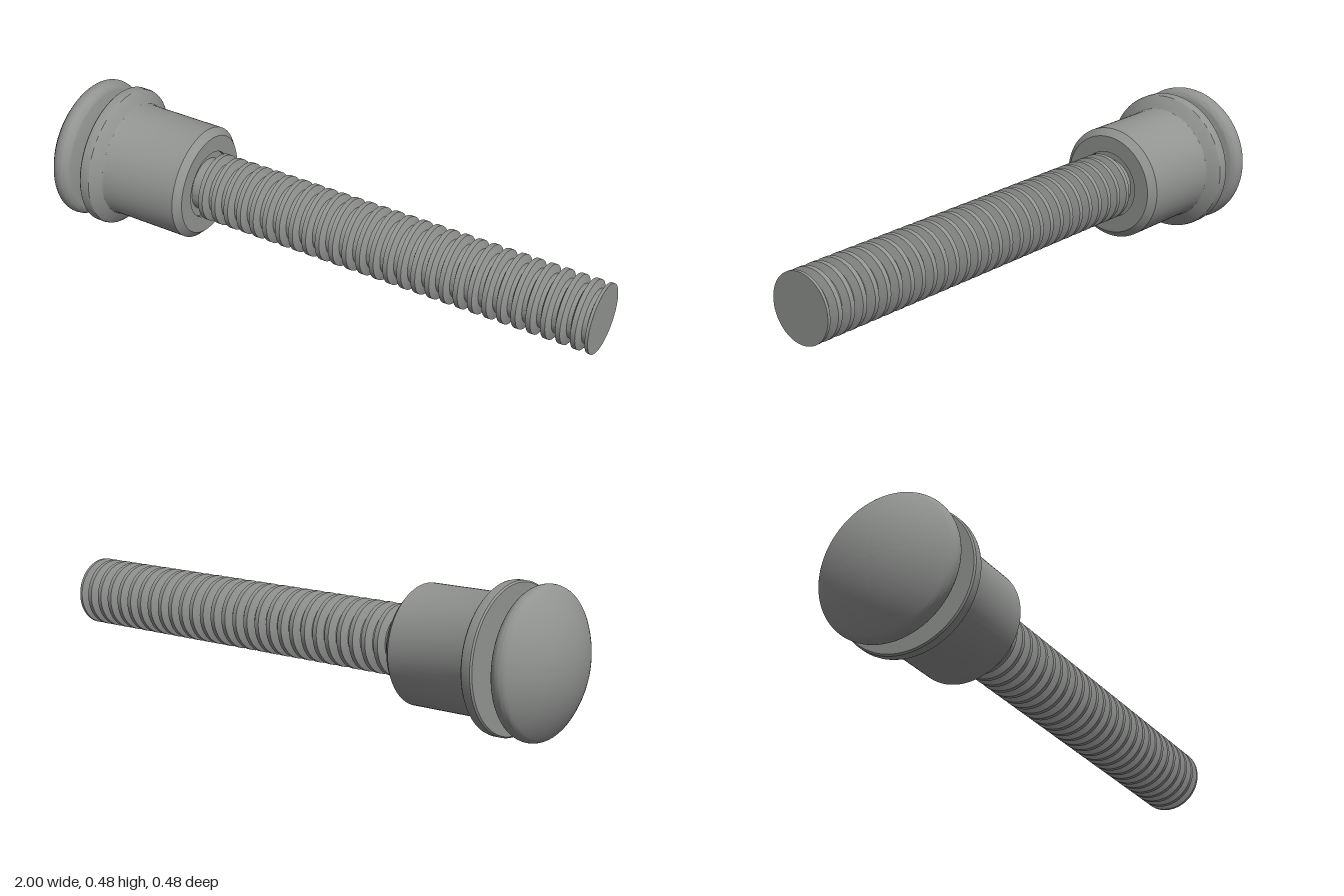
import * as THREE from 'three';
import { toCreasedNormals } from 'three/addons/utils/BufferGeometryUtils.js';

const AXIS_Y = 0.242;
const material = new THREE.MeshStandardMaterial({ color: 0x929492 });

// Revolve a profile of [x along the bolt, radius] pairs around the bolt axis
function turned(name, profile, crease = 0.45) {
  const points = profile.map(([x, r]) => new THREE.Vector2(r, x));
  const geometry = new THREE.LatheGeometry(points, 72);
  geometry.rotateZ(-Math.PI / 2);
  const mesh = new THREE.Mesh(toCreasedNormals(geometry, crease), material);
  mesh.name = name;
  mesh.position.y = AXIS_Y;
  return mesh;
}

// Arc of profile points around centre (cx, cr), angles measured from +x
function arc(cx, cr, radius, from, to, steps) {
  return Array.from({ length: steps + 1 }, (_, i) => {
    const a = from + ((to - from) * i) / steps;
    return [cx + radius * Math.cos(a), Math.max(0, cr + radius * Math.sin(a))];
  });
}

export function createModel() {
  const group = new THREE.Group();
  group.name = 'lockbolt';

  // Domed head with a rounded rim and a flat underside
  group.add(turned('head', [
    ...arc(-0.634, 0, 0.366, Math.PI, 2.469, 16),
    ...arc(-0.893, 0.206, 0.035, 2.4, 0.3, 12),
    [-0.86, 0],
  ]));

  // Smooth shank with a small fillet under the head
  group.add(turned('shank', [
    ...arc(-0.852, 0.124, 0.008, Math.PI, Math.PI * 1.5, 4),
    [-0.45, 0.116],
    [-0.45, 0.09],
  ]));

  // Flanged collar with chamfered end and a through bore
  group.add(turned('collar', [
    [-0.805, 0.116],
    [-0.805, 0.236],
    [-0.8, 0.241],
    [-0.776, 0.241],
    [-0.768, 0.239],
    [-0.762, 0.233],
    [-0.747, 0.205],
    [-0.742, 0.198],
    [-0.735, 0.195],
    [-0.46, 0.195],
    [-0.437, 0.172],
    [-0.437, 0.116],
    [-0.805, 0.116],
  ]));

  // Annular locking grooves, ending in a flat cut face
  const thread = [[-0.47, 0.09]];
  for (let i = 0; i < 28; i++) {
    const x = -0.4 + i * 0.05;
    thread.push([x - 0.018, 0.09], [x - 0.008, 0.116], [x + 0.008, 0.116], [x + 0.018, 0.09]);
  }
  thread.push([0.982, 0.09], [0.99, 0.116], [1, 0.116], [1, 0]);
  group.add(turned('groovedPin', thread));

  return group;
}
